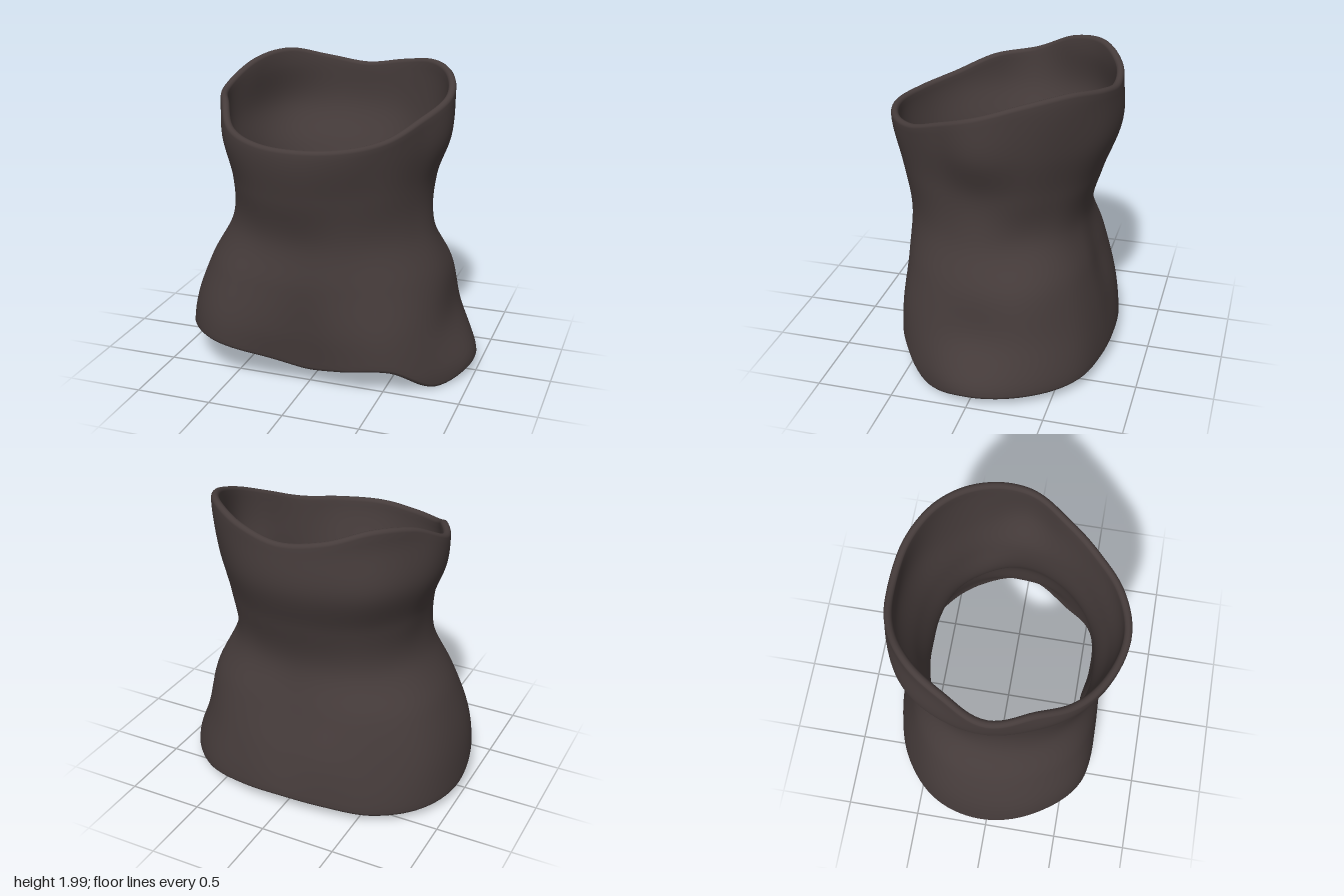
import * as THREE from 'three';

// Sixteen stations around the body, starting at the front (+z) and turning towards +x.
const STATIONS = 16;
const hemY = [.12, .15, .17, .01, .06, .06, .06, .08, .10, .09, .06, .06, .09, .22, .24, .19];
const rimY = [1.645, 1.65, 1.68, 1.77, 1.87, 1.955, 1.985, 1.945, 1.90, 1.94, 2.0, 1.96, 1.83, 1.79, 1.69, 1.65];

// Radii of the cross-sections, every 0.3 in height from y = 0.1.
const sections = [
  [.58, .66, .80, .88, .98, .95, .89, .80, .77, .80, .89, .97, .985, .97, .89, .68],
  [.62, .68, .78, .82, .83, .86, .82, .75, .71, .76, .84, .93, .945, .94, .88, .72],
  [.64, .66, .71, .75, .78, .79, .74, .67, .62, .67, .76, .83, .84, .83, .79, .70],
  [.63, .635, .64, .655, .675, .64, .62, .58, .56, .585, .64, .67, .68, .68, .67, .65],
  [.71, .68, .66, .65, .665, .67, .65, .64, .635, .65, .68, .69, .67, .67, .69, .71],
  [.77, .74, .70, .70, .765, .74, .72, .73, .735, .76, .79, .78, .77, .74, .75, .76],
  [.73, .73, .73, .72, .775, .77, .755, .74, .73, .75, .755, .755, .79, .72, .72, .73],
];

function spline(a, b, c, d, t) {
  return b + .5 * t * (c - a + t * (2 * a - 5 * b + 4 * c - d + t * (3 * (b - c) + d - a)));
}

// Smooth value around the loop, s in stations.
function around(list, s) {
  const i = Math.floor(s);
  const at = k => list[(i + k + STATIONS) % STATIONS];
  return spline(at(-1), at(0), at(1), at(2), s - i);
}

function radius(s, y) {
  const level = THREE.MathUtils.clamp((y - .1) / .3, 0, 6);
  const i = Math.min(Math.floor(level), 5);
  const at = k => around(sections[THREE.MathUtils.clamp(i + k, 0, 6)], s);
  return spline(at(-1), at(0), at(1), at(2), level - i);
}

// Wall profile at one station: up the outside, over the rim, down the inside, round the hem.
function wallProfile(s) {
  const half = .025, wall = 44, cap = 6, points = [];
  const low = around(hemY, s) + half, high = around(rimY, s) - half;
  for (let j = 0; j <= wall; j++) {
    const y = THREE.MathUtils.lerp(low, high, j / wall);
    points.push([radius(s, y), y]);
  }
  for (let j = 1; j < cap; j++) {
    const a = Math.PI * j / cap;
    points.push([radius(s, high) - half + half * Math.cos(a), high + half * Math.sin(a)]);
  }
  for (let j = wall; j >= 0; j--) {
    const y = THREE.MathUtils.lerp(low, high, j / wall);
    points.push([radius(s, y) - 2 * half, y]);
  }
  for (let j = 1; j < cap; j++) {
    const a = Math.PI * (1 + j / cap);
    points.push([radius(s, low) - half + half * Math.cos(a), low + half * Math.sin(a)]);
  }
  return points;
}

function clothGeometry() {
  const turns = 128, positions = [], index = [];
  let n = 0;
  for (let i = 0; i < turns; i++) {
    const angle = i / turns * Math.PI * 2;
    const profile = wallProfile(i / turns * STATIONS);
    n = profile.length;
    for (const [r, y] of profile) positions.push(r * Math.sin(angle), y, r * Math.cos(angle));
  }
  for (let i = 0; i < turns; i++) {
    for (let j = 0; j < n; j++) {
      const i2 = (i + 1) % turns, j2 = (j + 1) % n;
      const a = i * n + j, b = i2 * n + j, c = i2 * n + j2, d = i * n + j2;
      index.push(a, b, c, a, c, d);
    }
  }
  const geometry = new THREE.BufferGeometry();
  geometry.setAttribute('position', new THREE.Float32BufferAttribute(positions, 3));
  geometry.setIndex(index);
  geometry.computeVertexNormals();
  return geometry;
}

export function createModel() {
  const cloth = new THREE.MeshStandardMaterial({ color: 0x463c3b });
  cloth.name = 'dark brown cloth';

  const model = new THREE.Group();
  model.name = 'neckWarmer';

  // Open, waisted tube of thick cloth with a drooping hem and slanted collar
  const body = new THREE.Mesh(clothGeometry(), cloth);
  body.name = 'clothTube';
  model.add(body);
  return model;
}
